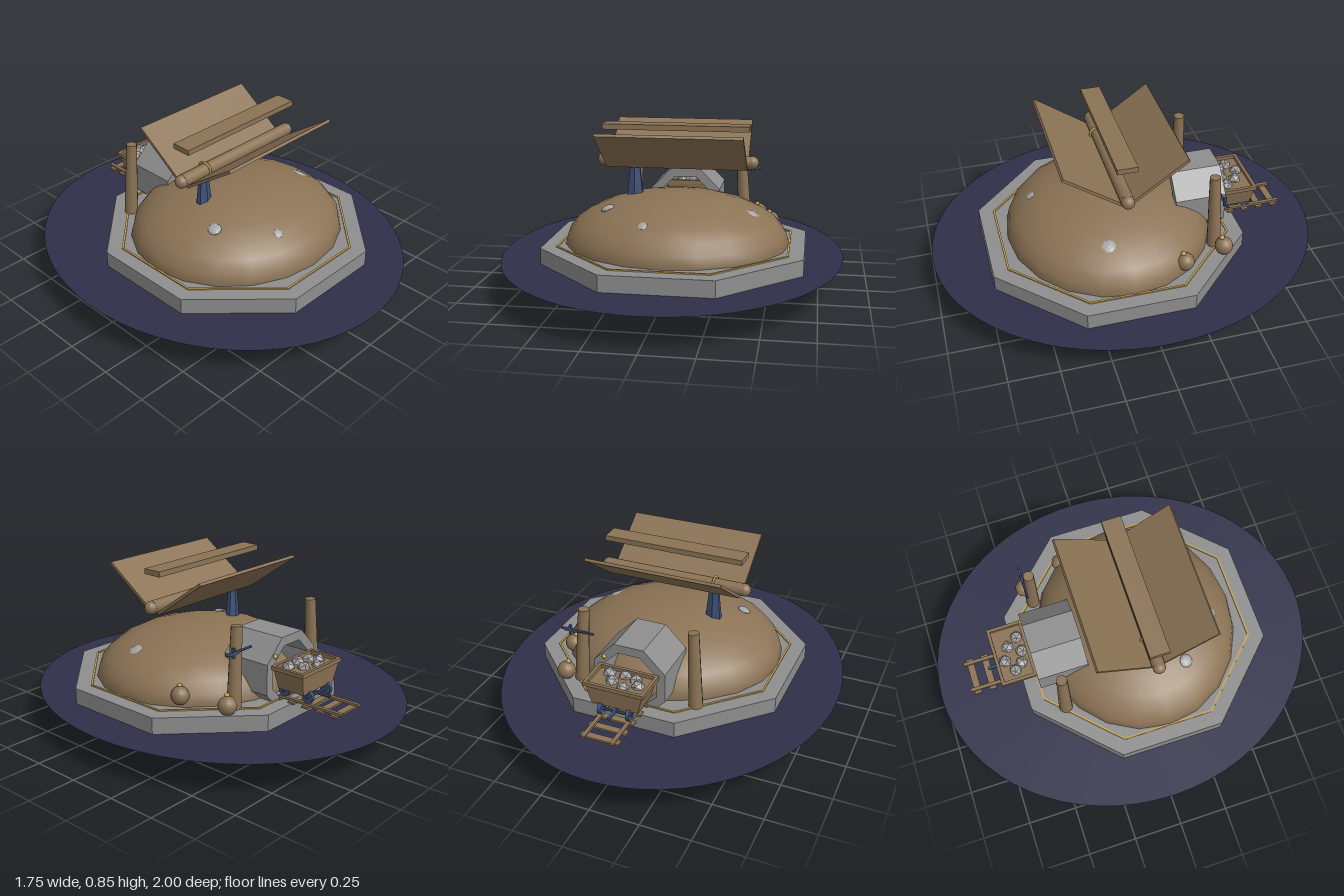
import * as THREE from 'three';

const mat = (name, color, extra = {}) => {
  const m = new THREE.MeshStandardMaterial({ color, ...extra });
  m.name = name;
  return m;
};

export function createModel() {
  const root = new THREE.Group();
  root.name = 'domeStation';

  const brown = mat('brown', 0x8b7355);
  const grey = mat('stoneGrey', 0x8e8e8e, { flatShading: true });
  const pale = mat('paleRock', 0xa4a4a4, { flatShading: true });
  const navy = mat('navyGround', 0x2f2f4a, { side: THREE.DoubleSide });
  const steel = mat('steelBlue', 0x3f5078, { flatShading: true });
  const gold = mat('gold', 0xc0a050);

  const add = (name, geo, material, x = 0, y = 0, z = 0, parent = root) => {
    const m = new THREE.Mesh(geo, material);
    m.name = name;
    m.position.set(x, y, z);
    parent.add(m);
    return m;
  };
  const box = (name, w, h, d, material, x, y, z, parent) =>
    add(name, new THREE.BoxGeometry(w, h, d), material, x, y, z, parent);
  // tapered round bar from point a to point b
  const rod = (name, a, b, ra, rb, material, sides = 10, parent = root) => {
    const p = new THREE.Vector3(...a), q = new THREE.Vector3(...b);
    const d = q.clone().sub(p);
    const m = add(name, new THREE.CylinderGeometry(rb, ra, d.length(), sides), material, 0, 0, 0, parent);
    m.position.copy(p).add(q).multiplyScalar(0.5);
    m.quaternion.setFromUnitVectors(new THREE.Vector3(0, 1, 0), d.normalize());
    return m;
  };
  // octagon with flat sides at the given distance from its centre
  const octagon = (half, Type = THREE.Shape) => {
    const pts = [];
    const r = half / Math.cos(Math.PI / 8);
    for (let i = 0; i < 8; i++) {
      const a = Math.PI / 8 + i * Math.PI / 4;
      pts.push(new THREE.Vector2(r * Math.cos(a), r * Math.sin(a)));
    }
    return new Type(pts);
  };
  const octagonRing = (outer, inner, depth) => {
    const s = octagon(outer);
    s.holes.push(octagon(inner, THREE.Path));
    return new THREE.ExtrudeGeometry(s, { depth, bevelEnabled: false });
  };

  const CX = 0.033, CZ = 0.08;

  // Ground disc, octagonal plinth and its inlaid trim
  const ground = add('groundDisc', new THREE.CircleGeometry(1, 64), navy, 0, 0.175, 0);
  ground.rotation.x = -Math.PI / 2;
  ground.scale.set(0.873, 1, 1);
  const plinth = add('plinth', new THREE.ExtrudeGeometry(octagon(0.645), { depth: 0.084, bevelEnabled: false }), grey, CX, 0.173, CZ);
  plinth.rotation.x = -Math.PI / 2;
  const trim = add('plinthTrim', octagonRing(0.572, 0.562, 0.007), gold, CX, 0.256, CZ);
  trim.rotation.x = -Math.PI / 2;

  // Flattened dome body
  const dome = add('dome', new THREE.SphereGeometry(1, 20, 14), brown, CX, 0.257, 0.09);
  dome.scale.set(0.568, 0.254, 0.522);

  // Loose stones resting on the dome
  [[0.42, 0.425, 0.18, 0.04], [-0.075, 0.42, 0.465, 0.026], [-0.29, 0.448, 0.25, 0.034]].forEach(([x, y, z, r]) => {
    const s = add('domeStone', new THREE.IcosahedronGeometry(r, 1), pale, x, y, z);
    const n = new THREE.Vector3((x - CX) / 0.323, (y - 0.257) / 0.0645, (z - 0.09) / 0.272).normalize();
    s.quaternion.setFromUnitVectors(new THREE.Vector3(0, 1, 0), n);
    s.scale.y = 0.4;
  });

  // Flared post carrying the axle
  const post = add('axlePost', new THREE.CylinderGeometry(0.027, 0.046, 0.17, 6), steel, -0.185, 0.56, 0.07);
  post.scale.z = 0.6;

  // Axle with round ends and a collar
  rod('axle', [-0.335, 0.665, 0.08], [0.4, 0.665, 0.08], 0.033, 0.033, brown, 14);
  [-0.342, 0.407].forEach(x => add('axleEnd', new THREE.SphereGeometry(0.033, 14, 10), brown, x, 0.665, 0.08));
  const collar = add('axleCollar', new THREE.TorusGeometry(0.04, 0.006, 6, 20), gold, -0.185, 0.665, 0.08);
  collar.rotation.y = Math.PI / 2;

  // Two wing panels in a V and the beam floating between them
  [[0.1, 0.635, 0.38, 0.832], [0.055, 0.635, -0.222, 0.832]].forEach(([z0, y0, z1, y1]) => {
    const len = Math.hypot(z1 - z0, y1 - y0);
    const p = box('wingPanel', 0.71, 0.015, len, brown, 0.03, (y0 + y1) / 2, (z0 + z1) / 2);
    p.rotation.x = -Math.atan2(y1 - y0, z1 - z0);
  });
  box('topBeam', 0.735, 0.027, 0.1, brown, 0.028, 0.836, 0.079);

  // Leaning log pillars at the rear
  rod('leftPillar', [0.34, 0.25, -0.39], [0.315, 0.655, -0.383], 0.036, 0.027, brown, 12);
  rod('rightPillar', [-0.275, 0.25, -0.392], [-0.255, 0.655, -0.383], 0.036, 0.027, brown, 12);

  // Small crank with crossed blades on the left pillar
  rod('crankShaft', [0.25, 0.545, -0.417], [0.425, 0.545, -0.417], 0.006, 0.006, steel, 6);
  box('crankBlade', 0.012, 0.05, 0.014, steel, 0.375, 0.545, -0.417);
  box('crankBlade', 0.07, 0.014, 0.012, steel, 0.375, 0.543, -0.417);

  // Round pots with knobs
  [[0.415, 0.298, -0.415, 0.046], [0.492, 0.31, -0.188, 0.045]].forEach(([x, y, z, r]) => {
    add('pot', new THREE.SphereGeometry(r, 14, 10), brown, x, y, z);
    add('potKnob', new THREE.SphereGeometry(0.013, 8, 6), gold, x - 0.008, y + r, z + 0.01);
  });

  // Octagonal tunnel mouth
  add('tunnel', octagonRing(0.185, 0.14, 0.262), grey, 0.03, 0.38, -0.487);
  add('tunnelLamp', new THREE.SphereGeometry(0.012, 8, 6), gold, 0.16, 0.485, -0.488);

  // Track of two rails on sleepers
  [-0.043, 0.103].forEach(x => box('rail', 0.018, 0.012, 0.36, brown, x, 0.27, -0.657));
  for (let i = 0; i < 5; i++) box('sleeper', 0.195, 0.01, 0.036, brown, 0.03, 0.259, -0.802 + i * 0.08);

  // Mine cart: tapered open tub, rim, wheels, coupling and load
  const cart = new THREE.Group();
  cart.name = 'mineCart';
  cart.position.set(0.03, 0, -0.577);
  root.add(cart);
  const tub = new THREE.BoxGeometry(0.29, 0.1, 0.17);
  const v = tub.attributes.position;
  for (let i = 0; i < v.count; i++) if (v.getY(i) < 0) v.setXYZ(i, v.getX(i) * 0.82, v.getY(i), v.getZ(i) * 0.86);
  tub.computeVertexNormals();
  add('cartTub', tub, brown, 0, 0.378, 0, cart);
  [-1, 1].forEach(s => {
    box('cartRimSide', 0.016, 0.02, 0.184, brown, s * 0.147, 0.436, 0, cart);
    box('cartRimEnd', 0.31, 0.02, 0.016, brown, 0, 0.436, s * 0.084, cart);
    rod('wheelAxle', [-0.09, 0.307, s * 0.068], [0.09, 0.307, s * 0.068], 0.008, 0.008, steel, 8, cart);
    [-1, 1].forEach(t => rod('cartWheel', [t * 0.064, 0.307, s * 0.068], [t * 0.082, 0.307, s * 0.068], 0.031, 0.031, steel, 12, cart));
  });
  box('coupling', 0.014, 0.014, 0.22, steel, 0, 0.31, -0.03, cart);
  [[-0.09, -0.005], [-0.03, -0.045], [0.04, -0.012], [0.08, 0.045], [-0.062, 0.035], [0, 0.05]].forEach(([x, z], i) => {
    const s = add('cartStone', new THREE.IcosahedronGeometry(0.034, 0), pale, x, 0.427, z, cart);
    s.rotation.set(i, i * 2, 0);
  });

  return root;
}
